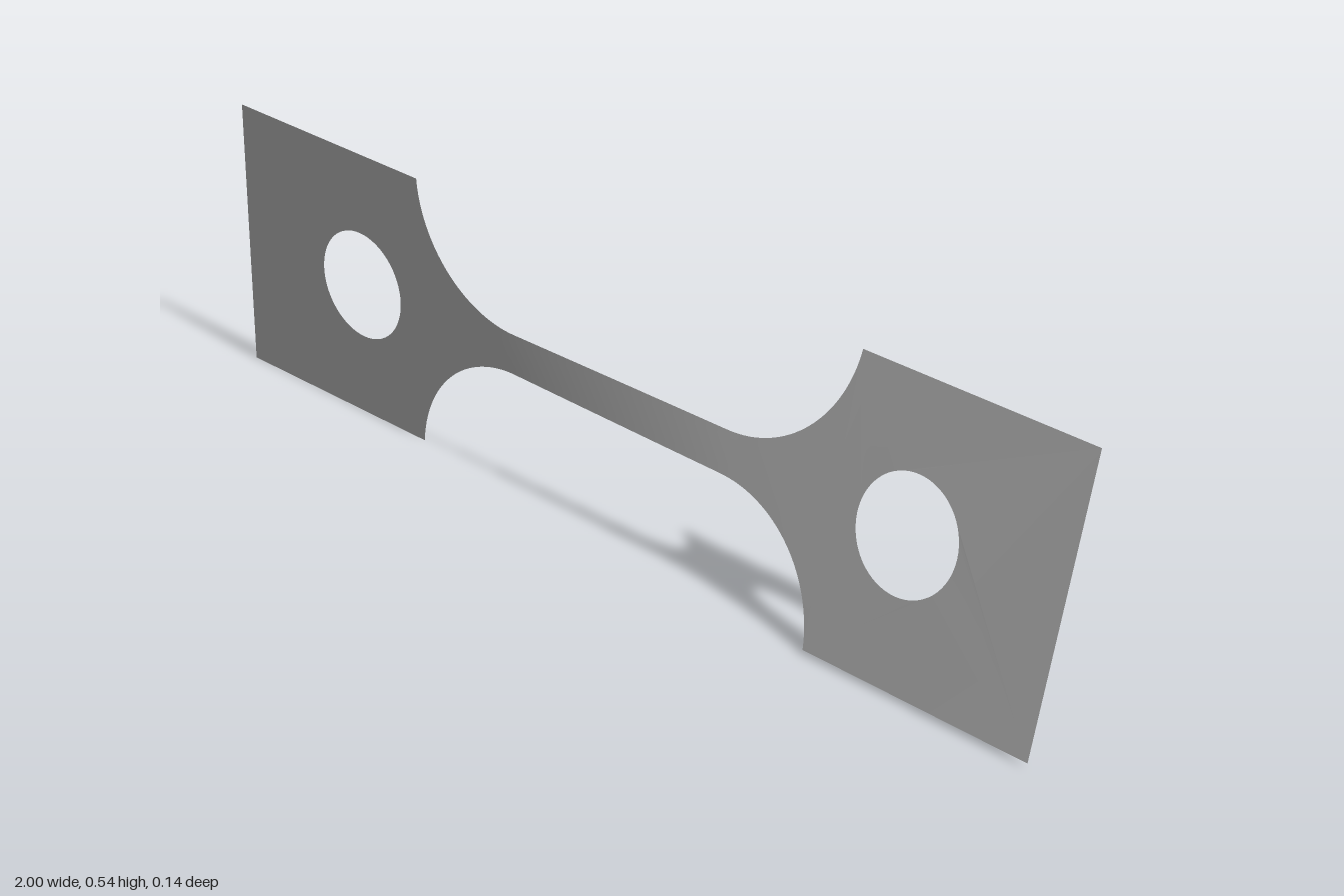
import * as THREE from 'three';

const MID = 0.271;        // half height of the tabs and height of the centre line
const TAB = 0.509;        // inner edge of each tab
const FILLET = 0.25;      // radius of the shoulder curves
const FILLET_X = 0.26, FILLET_Y = 0.29;

// Twist angle in degrees along the strip: nearly all of it falls in the neck
function twistAt(x) {
  const d = x < -0.28 ? -0.3
    : x < 0.28 ? -0.3 + 13.7 * (x + 0.28) / 0.56
    : 13.4 + 1.6 * (x - 0.28) / 0.72;
  return THREE.MathUtils.degToRad(d);
}

// Half height of the neck, flaring along circular shoulders
function halfHeight(x) {
  const d = Math.max(0, Math.abs(x) - FILLET_X);
  return Math.min(MID, FILLET_Y - Math.sqrt(Math.max(0, FILLET * FILLET - d * d)));
}

// Turns flat points about the centre line and lifts them to their height
function twist(geometry) {
  const p = geometry.attributes.position;
  for (let i = 0; i < p.count; i++) {
    const x = p.getX(i), y = p.getY(i), a = twistAt(x);
    p.setXYZ(i, x, MID + y * Math.cos(a), -y * Math.sin(a));
  }
  geometry.computeVertexNormals();
  return geometry;
}

function tabGeometry(side) {
  const x0 = side > 0 ? TAB : -1, x1 = side > 0 ? 1 : -TAB;
  const shape = new THREE.Shape();
  shape.moveTo(x0, -MID).lineTo(x1, -MID).lineTo(x1, MID).lineTo(x0, MID).closePath();
  const hole = new THREE.Path();
  hole.absarc(side * 0.672, 0, 0.108, 0, Math.PI * 2, true);
  shape.holes.push(hole);
  return twist(new THREE.ShapeGeometry(shape, 32));
}

function neckGeometry() {
  const geometry = new THREE.PlaneGeometry(2, 2, 96, 6);
  const p = geometry.attributes.position;
  for (let i = 0; i < p.count; i++) {
    // columns gather towards the steep ends of the shoulders
    const x = TAB * Math.sin(p.getX(i) * Math.PI / 2);
    p.setXY(i, x, p.getY(i) * halfHeight(x));
  }
  return twist(geometry);
}

export function createModel() {
  const model = new THREE.Group();
  model.name = 'twistedStrip';
  const steel = new THREE.MeshStandardMaterial({ color: 0xb4b4b4, side: THREE.DoubleSide });
  steel.name = 'steel grey';

  const add = (name, geometry) => {
    const mesh = new THREE.Mesh(geometry, steel);
    mesh.name = name;
    model.add(mesh);
  };
  add('leftTab', tabGeometry(1));
  add('rightTab', tabGeometry(-1));
  add('twistedNeck', neckGeometry());
  return model;
}
